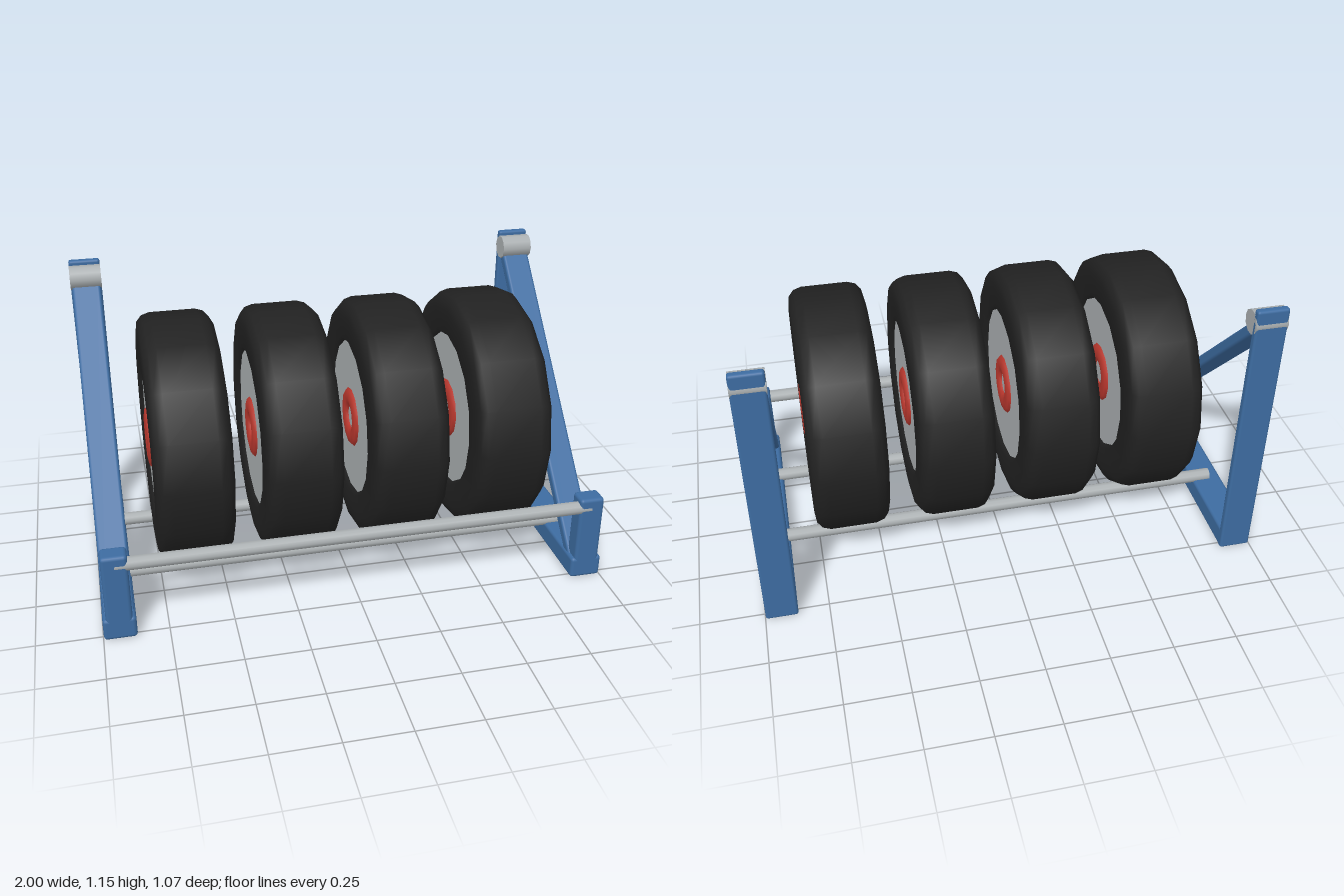
import * as THREE from 'three';
import { RoundedBoxGeometry } from 'three/addons/geometries/RoundedBoxGeometry.js';

export function createModel() {
  const material = (name, color) => {
    const m = new THREE.MeshStandardMaterial({ color });
    m.name = name;
    return m;
  };
  const blue = material('bluePaint', 0x3d6ca1);
  const steel = material('steel', 0xabb0b2);
  const rubber = material('rubber', 0x212121);
  const red = material('redHub', 0xbb382e);

  const model = new THREE.Group();
  model.name = 'tyreRack';

  const add = (parent, name, geometry, mat, x = 0, y = 0, z = 0) => {
    const mesh = new THREE.Mesh(geometry, mat);
    mesh.name = name;
    mesh.position.set(x, y, z);
    parent.add(mesh);
    return mesh;
  };
  const box = (w, h, d, r = 0.014) => new RoundedBoxGeometry(w, h, d, 2, r);
  // Cylinder lying along x
  const rod = (radius, length, sides) =>
    new THREE.CylinderGeometry(radius, radius, length, sides).rotateZ(Math.PI / 2);

  // Side frames: base, upright, front stop, diagonal brace and top pin
  for (const side of [-1, 1]) {
    const frame = new THREE.Group();
    frame.name = side > 0 ? 'leftFrame' : 'rightFrame';
    frame.position.x = side * 0.935;
    model.add(frame);
    add(frame, 'baseBeam', box(0.126, 0.09, 1.06), blue, 0, 0.045, 0);
    add(frame, 'backPost', box(0.126, 1.15, 0.032, 0.01), blue, 0, 0.575, -0.516);
    add(frame, 'frontStop', box(0.1, 0.3, 0.08), blue, 0, 0.212, 0.49);
    const from = new THREE.Vector3(0, 0.065, 0.472);
    const to = new THREE.Vector3(0, 1.075, -0.502);
    const mid = from.clone().add(to).multiplyScalar(0.5);
    const brace = add(frame, 'diagonalBrace', box(0.115, from.distanceTo(to), 0.046, 0.012), blue, 0, mid.y, mid.z);
    brace.rotation.x = Math.atan2(to.z - from.z, to.y - from.y);
    add(frame, 'topPin', rod(0.049, 0.126, 10), steel, 0, 1.085, -0.486);
  }

  // Cross bars: front rail and the two rollers under the tyres
  add(model, 'frontRail', rod(0.027, 1.87, 10), steel, 0, 0.317, 0.505);
  for (const z of [0.22, -0.175]) add(model, 'roller', rod(0.027, 1.89, 10), steel, 0, 0.097, z);

  // Wheels: rounded tyre, flat disc and a domed hub ring on each face
  const half = [[0.49, 0.09], [0.48, 0.122], [0.456, 0.142], [0.42, 0.147], [0.33, 0.147], [0.312, 0.128]];
  const profile = [...half.map(([r, a]) => [r, -a]).reverse(), ...half];
  const tyre = new THREE.LatheGeometry(profile.map(([r, a]) => new THREE.Vector2(r, a)), 16).rotateZ(Math.PI / 2);
  const disc = rod(0.314, 0.264, 16);
  const ring = new THREE.TorusGeometry(0.085, 0.037, 8, 12).scale(1, 1, 0.45).rotateY(Math.PI / 2);
  for (const x of [-0.615, -0.205, 0.205, 0.615]) {
    const wheel = new THREE.Group();
    wheel.name = 'wheel';
    wheel.position.set(x, 0.578, 0.022);
    model.add(wheel);
    add(wheel, 'tyre', tyre, rubber);
    add(wheel, 'wheelDisc', disc, steel);
    for (const s of [-1, 1]) add(wheel, 'hubRing', ring, red, s * 0.132);
  }
  return model;
}
